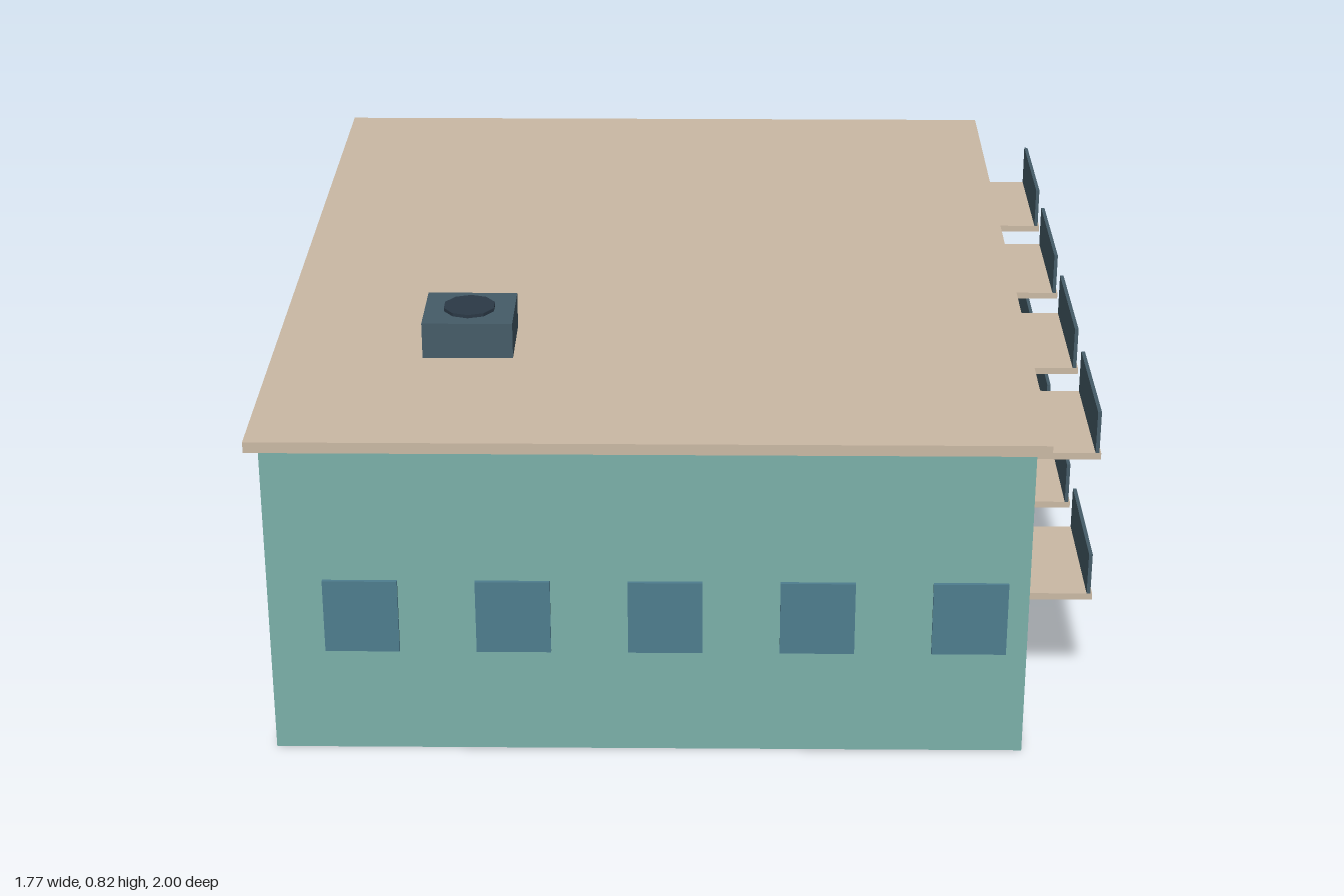
import * as THREE from 'three';

const mat = (color) => new THREE.MeshStandardMaterial({ color, flatShading: true });

export function createModel() {
  const model = new THREE.Group();
  const wall = mat(0x7bb0a9), tan = mat(0xcab9a4), glass = mat(0x4e7d8e);
  const slate = mat(0x455c68), dark = mat(0x2b3946), amber = mat(0xd0a455);

  // Box given by its minimum and maximum corners
  function box(name, material, [x0, y0, z0], [x1, y1, z1]) {
    const mesh = new THREE.Mesh(new THREE.BoxGeometry(x1 - x0, y1 - y0, z1 - z0), material);
    mesh.position.set((x0 + x1) / 2, (y0 + y1) / 2, (z0 + z1) / 2);
    mesh.name = name;
    model.add(mesh);
    return mesh;
  }

  // Main block and overhanging flat roof
  const L = -0.86, R = 0.726, Z = 0.973, top = 0.706;
  box('walls', wall, [L, 0, -Z], [R, top, Z]);
  box('roof', tan, [-0.886, top, -1], [0.754, 0.73, 1]);

  // Windows: five on front and back, six on each side
  const w = 0.078, y0 = 0.237, y1 = 0.402, out = 0.008;
  for (let i = 0; i < 5; i++) {
    const x = -0.666 + i * 0.3175;
    box('frontWindow', glass, [x - w, y0, Z - 0.01], [x + w, y1, Z + out]);
    box('backWindow', glass, [x - w, y0, -Z - out], [x + w, y1, -Z + 0.01]);
  }
  for (let i = 0; i < 6; i++) {
    const z = 0.82 - i * 0.318;
    box('leftWindow', glass, [R - 0.01, y0, z - w], [R + out, y1, z + w]);
    box('rightWindow', glass, [L - out, y0, z - w], [L + 0.01, y1, z + w]);
  }
  // Lit pane in the rearmost window on the balcony side
  box('litPane', amber, [R, 0.252, -0.835], [R + out + 0.003, 0.387, -0.705]);

  // Entrance door
  box('door', dark, [R - 0.01, 0, -0.068], [R + 0.011, 0.247, 0.07]);

  // Two rows of balconies, each a slab with an outer railing panel
  for (const y of [0.258, 0.593]) {
    for (let i = 0; i < 4; i++) {
      const z = 0.618 - i * 0.44, h = 0.158;
      box('balconySlab', tan, [R, y, z - h], [0.884, y + 0.015, z + h]);
      box('balconyRailing', slate, [0.872, y + 0.015, z - h], [0.88, y + 0.11, z + h]);
    }
  }

  // Rooftop ventilation unit with a round fan cover
  box('ventUnit', slate, [-0.56, 0.73, 0.398], [-0.365, 0.81, 0.572]);
  const fan = new THREE.Mesh(new THREE.CylinderGeometry(0.057, 0.057, 0.017, 10), dark);
  fan.position.set(-0.463, 0.809, 0.485);
  fan.name = 'ventFan';
  model.add(fan);

  return model;
}
